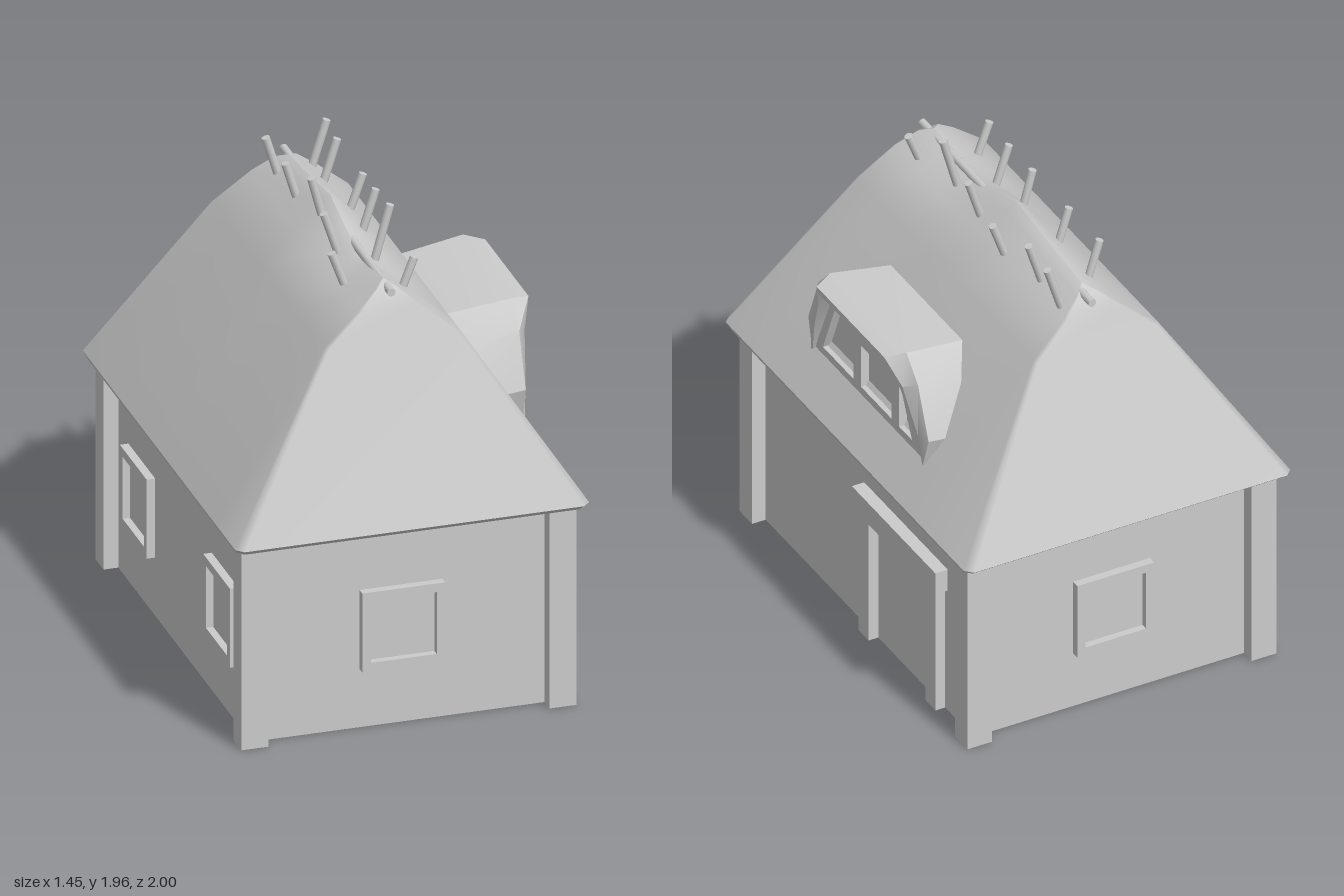
import * as THREE from 'three';
import { toCreasedNormals } from 'three/addons/utils/BufferGeometryUtils.js';

const grey = new THREE.MeshStandardMaterial({ color: 0xcccccc });
const greyBoth = new THREE.MeshStandardMaterial({ color: 0xcccccc, side: THREE.DoubleSide });

function mesh(name, geometry, parent, material = grey) {
  const m = new THREE.Mesh(geometry, material);
  m.name = name;
  parent.add(m);
  return m;
}

// Box given by its two corners
function box(name, parent, [x0, y0, z0], [x1, y1, z1]) {
  const m = mesh(name, new THREE.BoxGeometry(x1 - x0, y1 - y0, z1 - z0), parent);
  m.position.set((x0 + x1) / 2, (y0 + y1) / 2, (z0 + z1) / 2);
  return m;
}

// Four upright walls without top or bottom
function openBox(name, parent, w, h, d, x, z) {
  const g = new THREE.CylinderGeometry(Math.SQRT1_2, Math.SQRT1_2, 1, 4, 1, true).rotateY(Math.PI / 4);
  g.scale(w, h, d);
  const m = mesh(name, toCreasedNormals(g, 0.5), parent, greyBoth);
  m.position.set(x, h / 2, z);
}

// Skin over a series of rings with equal point counts
function loft(rings, closed) {
  const n = rings[0].length, index = [];
  for (let i = 0; i < rings.length - 1; i++) {
    for (let j = 0; j < (closed ? n : n - 1); j++) {
      const a = i * n + j, b = i * n + (j + 1) % n;
      index.push(a, b, b + n, a, b + n, a + n);
    }
  }
  const g = new THREE.BufferGeometry();
  g.setAttribute('position', new THREE.Float32BufferAttribute(rings.flat(2), 3));
  g.setIndex(index);
  g.computeVertexNormals();
  return g;
}

// Ridge height offsets by fraction of the length, front to back
const ridge = [[1, 0], [0.75, -0.015], [0.5, -0.035], [0.17, 0.01], [-0.12, 0.06], [-0.5, 0.03], [-1, 0]];

// Rectangular roof ring with cut corners; sag is how much of the ridge wave it follows
function roofRing(hx, hz, y, cut, sag) {
  const side = ridge.map(([f, dy]) => [hx, y + sag * dy, f * (hz - cut)]);
  const ex = hx - cut;
  return [
    ...side, [ex, y, -hz], [-ex, y, -hz],
    ...side.map(([x, sy, z]) => [-x, sy, z]).reverse(), [-ex, y, hz], [ex, y, hz],
  ];
}

function strut(name, parent, from, to, radius = 0.017) {
  const a = new THREE.Vector3(...from), b = new THREE.Vector3(...to);
  const m = mesh(name, new THREE.CylinderGeometry(radius, radius, a.distanceTo(b), 10), parent);
  m.position.copy(a).lerp(b, 0.5);
  m.quaternion.setFromUnitVectors(new THREE.Vector3(0, 1, 0), b.sub(a).normalize());
}

const polygon = (points) => points.map(([x, y]) => new THREE.Vector2(x, y));
const rect = (x0, y0, x1, y1) => polygon([[x0, y0], [x1, y0], [x1, y1], [x0, y1]]);

function extrude(outline, holes, depth) {
  const s = new THREE.Shape(outline);
  s.holes = holes.map((h) => new THREE.Path(h));
  return new THREE.ExtrudeGeometry(s, { depth, bevelEnabled: false });
}

// Wall window facing +z, centred on its local origin
function wallWindow(parent, x, z, turn) {
  const w = new THREE.Group();
  w.name = 'window';
  mesh('windowFrame', extrude(rect(-0.17, -0.17, 0.17, 0.17), [rect(-0.135, -0.133, 0.135, 0.133)], 0.135), w)
    .position.z = -0.1;
  box('windowPane', w, [-0.135, -0.133, -0.1], [0.135, 0.133, 0.005]);
  w.position.set(x, 0.42, z);
  w.rotation.y = turn;
  parent.add(w);
}

function buildDormer(parent) {
  const dormer = new THREE.Group();
  dormer.name = 'dormer';
  // Half profiles [x, y, z] from foot to crown: roof joint, brow, lip, inner lip, window plane
  const halves = [
    [[0.6, 1.04, 0.455], [0.53, 1.16, 0.49], [0.43, 1.34, 0.41], [0.34, 1.445, 0.29]],
    [[0.62, 1.04, 0.46], [0.62, 1.17, 0.49], [0.62, 1.385, 0.405], [0.62, 1.485, 0.31]],
    [[0.627, 1.04, 0.455], [0.637, 1.17, 0.435], [0.66, 1.36, 0.35], [0.7, 1.468, 0.275]],
    [[0.625, 1.045, 0.445], [0.635, 1.17, 0.415], [0.66, 1.34, 0.335], [0.7, 1.445, 0.27]],
    [[0.595, 1.05, 0.435], [0.595, 1.17, 0.39], [0.595, 1.33, 0.32], [0.595, 1.41, 0.28]],
  ];
  const rings = halves.map((h) => [...h, ...h.map(([x, y, z]) => [x, y, -z]).reverse()]);
  mesh('dormerHood', toCreasedNormals(loft(rings, false), 0.6), dormer, greyBoth);

  // Window front, drawn with local x = -z
  const outline = [[-0.45, 1.04], [0.45, 1.04], [0.28, 1.42], [-0.28, 1.42]];
  const panes = [
    polygon([[-0.38, 1.09], [-0.13, 1.09], [-0.13, 1.405], [-0.25, 1.405]]),
    rect(-0.07, 1.09, 0.18, 1.285),
    rect(-0.07, 1.325, 0.18, 1.4),
    polygon([[0.24, 1.09], [0.345, 1.09], [0.24, 1.32]]),
  ];
  const frame = mesh('dormerFrame', extrude(polygon(outline), panes, 0.04), dormer);
  const back = mesh('dormerPanes', extrude(polygon(outline), [], 0.02), dormer);
  frame.rotation.y = back.rotation.y = Math.PI / 2;
  frame.position.x = 0.575;
  back.position.x = 0.56;
  parent.add(dormer);
}

export function createModel() {
  const house = new THREE.Group();
  house.name = 'thatchedCottage';

  // Walls and corner posts
  openBox('walls', house, 1.25, 0.86, 1.73, 0, 0);
  for (const sx of [-1, 1]) {
    for (const sz of [-1, 1]) openBox('cornerPost', house, 0.11, 0.86, 0.1, sx * 0.631, sz * 0.878);
  }

  // Windows on the front, back and right walls
  wallWindow(house, -0.012, 0.865, 0);
  wallWindow(house, 0.012, -0.865, Math.PI);
  for (const z of [-0.53, 0.53]) wallWindow(house, -0.625, z, -Math.PI / 2);

  // Door surround on the left wall
  const door = new THREE.Group();
  door.name = 'doorway';
  box('doorLintel', door, [0.6, 0.567, -0.655], [0.68, 0.667, 0.025]);
  box('doorJamb', door, [0.6, 0, -0.09], [0.668, 0.57, -0.008]);
  box('doorJamb', door, [0.6, 0, -0.635], [0.668, 0.57, -0.555]);
  house.add(door);

  // Thatched roof and its eave
  mesh('roof', loft([
    roofRing(0.725, 1, 0.885, 0.03, 0),
    roofRing(0.28, 0.73, 1.575, 0.015, 0),
    roofRing(0.13, 0.695, 1.7, 0.01, 0.3),
    roofRing(0.045, 0.65, 1.767, 0.005, 0.9),
    roofRing(0, 0.6, 1.79, 0, 1),
  ], true), house);
  mesh('eave', toCreasedNormals(loft([
    roofRing(0, 0, 0.86, 0, 0),
    roofRing(0.715, 0.97, 0.86, 0.03, 0),
    roofRing(0.725, 1, 0.885, 0.03, 0),
  ], true), 0.5), house);

  buildDormer(house);

  // Ridge pole and leaning thatch pegs: [z, foot x, top x, top y]
  strut('ridgePole', house, [0.005, 1.765, 0.69], [0.015, 1.765, -0.715]);
  const pegs = [
    [0.545, 0.1, 0.145, 1.835], [0.3, 0.06, 0.125, 1.955], [0.055, 0.085, 0.145, 1.91],
    [-0.19, 0.12, 0.172, 1.865], [-0.435, 0.085, 0.145, 1.91], [-0.615, 0.1, 0.16, 1.91],
    [0.455, -0.115, -0.165, 1.855], [0.21, -0.055, -0.118, 1.91], [-0.035, -0.03, -0.09, 1.95],
    [-0.28, -0.06, -0.118, 1.91], [-0.53, -0.06, -0.118, 1.91],
  ];
  for (const [z, x0, x1, y] of pegs) strut('thatchPeg', house, [x0, 1.72, z], [x1, y, z]);

  return house;
}
